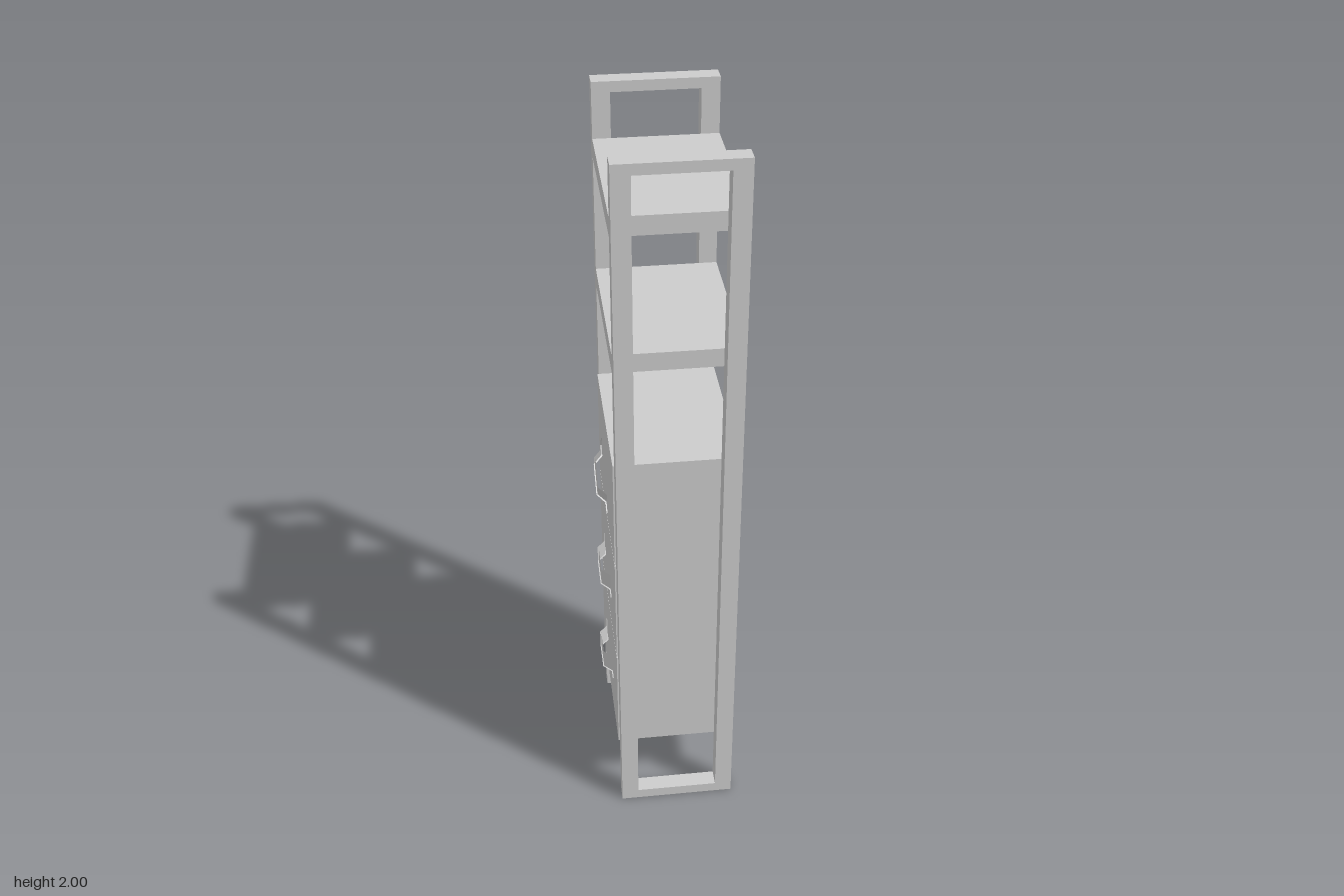
import * as THREE from 'three';

const material = new THREE.MeshStandardMaterial({ color: 0xcccccc, flatShading: true });

const BACK = -0.146, FRONT = 0.175; // x extent of the frames
const MID = (BACK + FRONT) / 2, DEPTH = FRONT - BACK;
const INNER = 0.222, POST = 0.047; // inner face and thickness of the side frames

function addMesh(parent, name, geometry, x = 0, y = 0, z = 0) {
  const mesh = new THREE.Mesh(geometry, material);
  mesh.name = name;
  mesh.position.set(x, y, z);
  parent.add(mesh);
  return mesh;
}

function addBox(parent, name, x0, x1, y0, y1, z0, z1) {
  return addMesh(parent, name, new THREE.BoxGeometry(x1 - x0, y1 - y0, z1 - z0),
    (x0 + x1) / 2, (y0 + y1) / 2, (z0 + z1) / 2);
}

// Tall rectangular loop with one opening
function sideFrameGeometry() {
  const shape = new THREE.Shape([
    new THREE.Vector2(BACK, 0), new THREE.Vector2(FRONT, 0),
    new THREE.Vector2(FRONT, 2), new THREE.Vector2(BACK, 2),
  ]);
  const x0 = BACK + POST, x1 = FRONT - POST;
  shape.holes.push(new THREE.Path([
    new THREE.Vector2(x0, 0.03), new THREE.Vector2(x0, 1.972),
    new THREE.Vector2(x1, 1.972), new THREE.Vector2(x1, 0.03),
  ]));
  return new THREE.ExtrudeGeometry(shape, { depth: POST, bevelEnabled: false });
}

// Bent strap: flat feet, sloping legs and a raised grip
function handleGeometry() {
  const width = 0.055, t = 0.003;
  const outer = [[-0.1, t], [-0.07, t], [-0.045, 0.026], [0.045, 0.026], [0.07, t], [0.1, t]];
  const inner = [[0.1, 0], [0.067, 0], [0.043, 0.023], [-0.043, 0.023], [-0.067, 0], [-0.1, 0]];
  const shape = new THREE.Shape([...outer, ...inner].map(([a, b]) => new THREE.Vector2(a, b)));
  const geometry = new THREE.ExtrudeGeometry(shape, { depth: width, bevelEnabled: false });
  geometry.translate(0, 0, -width / 2);
  // Length along z, projection along -x, width along y
  const basis = new THREE.Matrix4().makeBasis(
    new THREE.Vector3(0, 0, 1), new THREE.Vector3(-1, 0, 0), new THREE.Vector3(0, 1, 0));
  return geometry.applyMatrix4(basis);
}

export function createModel() {
  const model = new THREE.Group();
  model.name = 'shelfTower';

  // Side frames
  const frame = sideFrameGeometry();
  addMesh(model, 'leftSideFrame', frame, 0, 0, INNER);
  addMesh(model, 'rightSideFrame', frame, 0, 0, -INNER - POST);

  // Open shelves
  for (const y of [1.44, 1.803]) {
    addBox(model, 'shelf', BACK, FRONT, y, y + 0.05, -INNER, INNER);
  }

  // Cabinet body
  addBox(model, 'cabinet', BACK, FRONT, 0.195, 1.165, -INNER, INNER);

  // Drawers with a strap handle each; the upper handles hang askew
  const handle = handleGeometry();
  const drawers = [
    { y: 0.195, handleY: 0.352, handleZ: 0, tilt: 0 },
    { y: 0.52, handleY: 0.668, handleZ: 0, tilt: 0.13 },
    { y: 0.845, handleY: 0.947, handleZ: -0.045, tilt: 0.61 },
  ];
  for (const d of drawers) {
    const drawer = new THREE.Group();
    drawer.name = 'drawer';
    addBox(drawer, 'drawerFront', BACK - 0.004, BACK, d.y, d.y + 0.32, -INNER, INNER);
    const strap = addMesh(drawer, 'drawerHandle', handle, BACK - 0.004, d.handleY, d.handleZ);
    strap.rotation.x = d.tilt;
    model.add(drawer);
  }
  return model;
}
